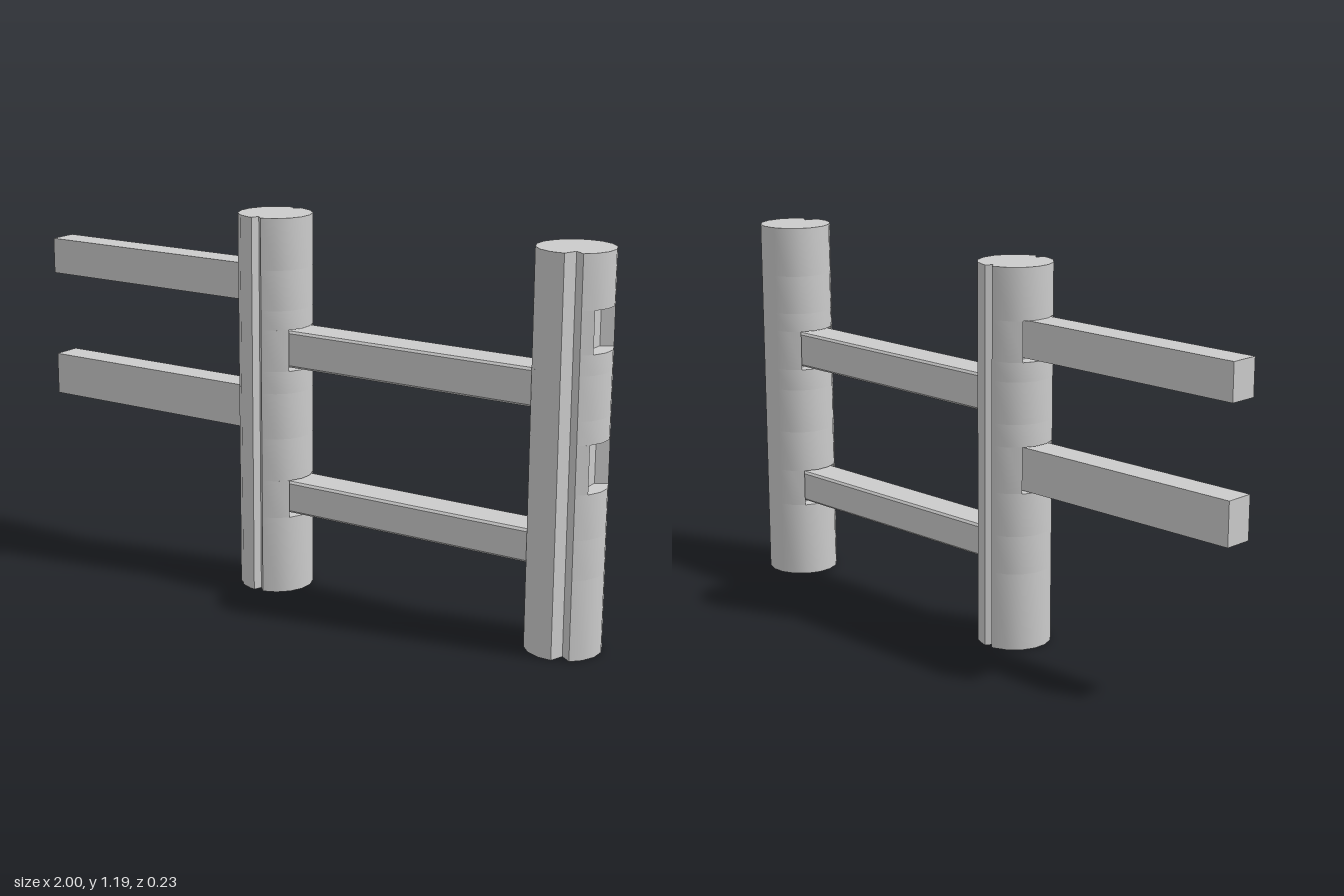
import * as THREE from 'three';
import { mergeGeometries, toCreasedNormals } from 'three/addons/utils/BufferGeometryUtils.js';

const HEIGHT = 1.19, RADIUS = 0.115, SIDES = 16;
const SOCKET_FLOOR = 0.06, SOCKET_HALF = 0.065, FLOOR_HALF = 0.046;
const TAU = Math.PI * 2;

const material = new THREE.MeshStandardMaterial({ color: 0xcccccc });

// Rails: x range, y range, z range, edge bevel
const LEFT_X = -0.137, RIGHT_X = 0.885;
const outerRails = [[0.915, 1.03], [0.505, 0.64]];
const middleRails = [[0.725, 0.84], [0.258, 0.36]];

// Sockets: which side of the post they open on, and their height range
const outerSockets = [[0.905, 1.03], [0.5, 0.645]];
const middleSockets = [[0.715, 0.845], [0.245, 0.365]];
const facing = (side, ranges) => ranges.map(([y0, y1]) => ({ side, y0, y1 }));

// Post cross-section seen from above, with drying cracks and sockets cut in
function postOutline(cracks, sides) {
  let pts = [];
  const add = (key, x, y) => pts.push({ key: ((key % TAU) + TAU) % TAU, x, y });
  const polar = (a, r) => add(a, Math.cos(a) * r, Math.sin(a) * r);
  for (let i = 0; i < SIDES; i++) {
    const a = (i + 0.5) / SIDES * TAU;
    if (!cracks.some(c => Math.abs(Math.atan2(Math.sin(a - c.at), Math.cos(a - c.at))) < c.half)) polar(a, RADIUS);
  }
  for (const c of cracks) {
    polar(c.at - c.half, RADIUS);
    polar(c.at + (c.skew || 0), RADIUS - c.depth);
    polar(c.at + c.half, RADIUS);
  }
  for (const side of sides) {
    pts = pts.filter(p => p.x * side < 0 || Math.abs(p.y) > SOCKET_HALF);
    const edge = Math.sqrt(RADIUS ** 2 - SOCKET_HALF ** 2);
    const middle = side > 0 ? 0 : Math.PI;
    for (const turn of [-1, 1]) {
      add(middle + turn * 0.2, side * edge, side * turn * SOCKET_HALF);
      add(middle + turn * 0.1, side * SOCKET_FLOOR, side * turn * FLOOR_HALF);
    }
  }
  pts.sort((a, b) => a.key - b.key);
  return new THREE.Shape(pts.map(p => new THREE.Vector2(p.x, p.y)));
}

// Post stacked from slices, so each socket is a real recess
function post(name, x, cracks, sockets) {
  const levels = [0, HEIGHT, ...sockets.flatMap(s => [s.y0, s.y1])].sort((a, b) => a - b);
  const slices = [];
  for (let i = 0; i + 1 < levels.length; i++) {
    const y0 = levels[i], y1 = levels[i + 1], mid = (y0 + y1) / 2;
    const open = sockets.filter(s => s.y0 < mid && mid < s.y1).map(s => s.side);
    const slice = new THREE.ExtrudeGeometry(postOutline(cracks, open), { depth: y1 - y0, bevelEnabled: false });
    slice.rotateX(-Math.PI / 2).translate(0, y0, 0);
    slices.push(toCreasedNormals(slice, 0.5));
  }
  const mesh = new THREE.Mesh(mergeGeometries(slices), material);
  mesh.name = name;
  mesh.position.x = x;
  return mesh;
}

// Straight rail along x with an optional bevel on its long edges
function rail(name, x0, x1, [y0, y1], [z0, z1], bevel) {
  let geometry;
  if (bevel) {
    const hz = (z1 - z0) / 2, hy = (y1 - y0) / 2, b = bevel;
    const section = new THREE.Shape([
      [hz, -hy + b], [hz, hy - b], [hz - b, hy], [-hz + b, hy],
      [-hz, hy - b], [-hz, -hy + b], [-hz + b, -hy], [hz - b, -hy],
    ].map(p => new THREE.Vector2(...p)));
    geometry = new THREE.ExtrudeGeometry(section, { depth: x1 - x0, bevelEnabled: false });
    geometry.translate(0, 0, -(x1 - x0) / 2).rotateY(Math.PI / 2);
  } else {
    geometry = new THREE.BoxGeometry(x1 - x0, y1 - y0, z1 - z0);
  }
  const mesh = new THREE.Mesh(geometry, material);
  mesh.name = name;
  mesh.position.set((x0 + x1) / 2, (y0 + y1) / 2, (z0 + z1) / 2);
  return mesh;
}

export function createModel() {
  const fence = new THREE.Group();
  fence.name = 'postAndRailFence';

  // Posts (outline angles: -90 degrees is the front, +90 the back)
  const deg = Math.PI / 180;
  fence.add(post('middlePost', LEFT_X,
    [{ at: -86 * deg, half: 8 * deg, depth: 0.025, skew: -0.05 }, { at: 90 * deg, half: 7 * deg, depth: 0.02 }],
    [...facing(-1, outerSockets), ...facing(1, middleSockets)]));
  fence.add(post('endPost', RIGHT_X,
    [{ at: -67 * deg, half: 13 * deg, depth: 0.037, skew: 0.06 }],
    [...facing(-1, middleSockets), ...facing(1, outerSockets)]));

  // Rails reach to the floor of their sockets
  const tiers = ['upper', 'lower'];
  outerRails.forEach((y, i) => fence.add(
    rail(tiers[i] + 'OuterRail', -1, LEFT_X - SOCKET_FLOOR, y, [-0.048, 0.044], 0)));
  middleRails.forEach((y, i) => fence.add(
    rail(tiers[i] + 'MiddleRail', LEFT_X + SOCKET_FLOOR, RIGHT_X - SOCKET_FLOOR, y, [-0.06, 0.06], 0.007)));

  return fence;
}
